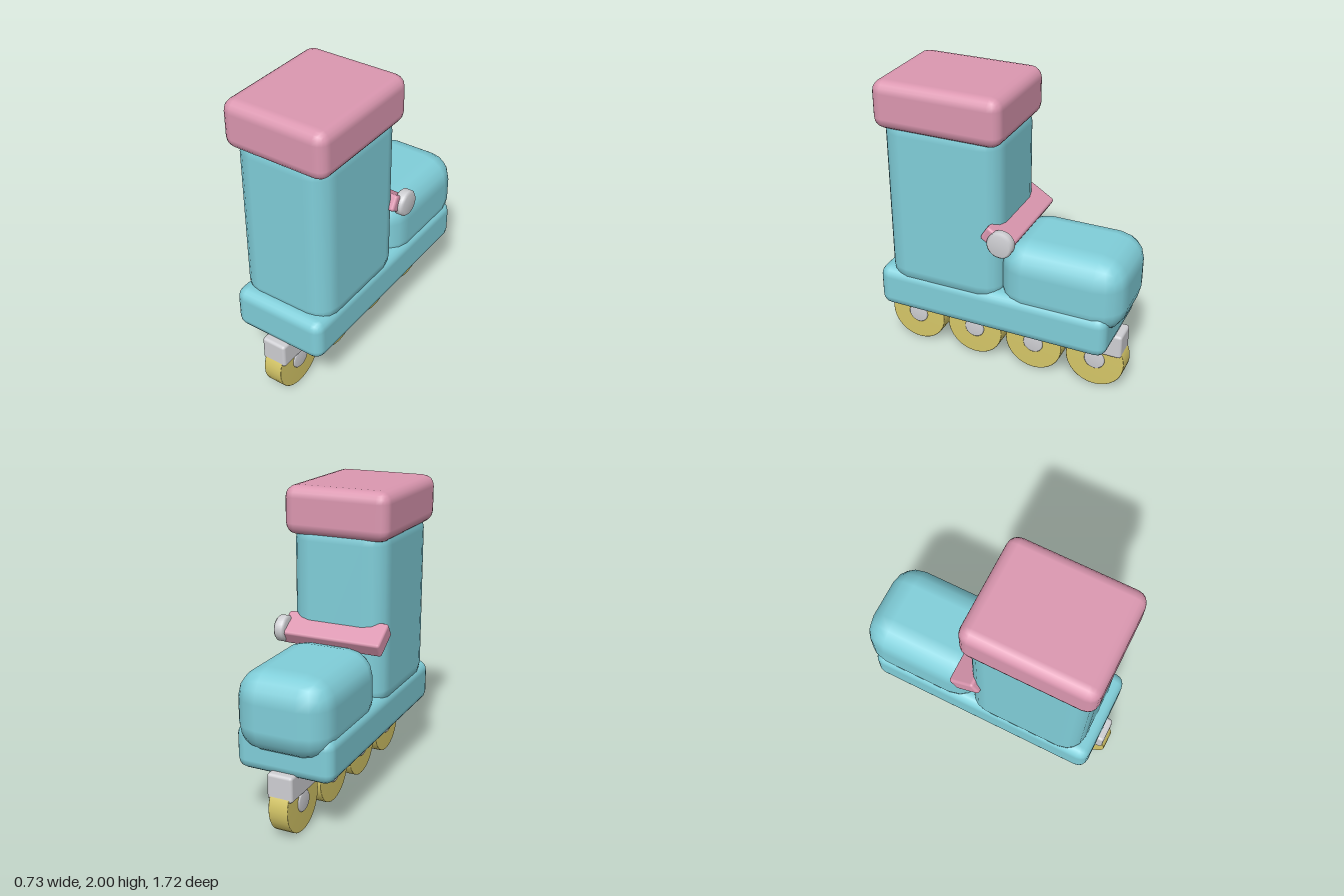
import * as THREE from 'three';
import { RoundedBoxGeometry } from 'three/addons/geometries/RoundedBoxGeometry.js';

const material = (name, color) => {
  const m = new THREE.MeshStandardMaterial({ color });
  m.name = name;
  return m;
};

export function createModel() {
  const teal = material('teal boot', 0x80ced9);
  const pink = material('pink trim', 0xdb97b0);
  const yellow = material('yellow wheel', 0xd6c768);
  const grey = material('grey metal', 0xcfcfd3);

  const model = new THREE.Group();
  model.name = 'rollerSkate';
  const CX = -0.015; // the skate sits slightly off centre because of the buckle

  const add = (name, geometry, mat, x, y, z) => {
    const mesh = new THREE.Mesh(geometry, mat);
    mesh.name = name;
    mesh.position.set(x, y, z);
    model.add(mesh);
    return mesh;
  };

  // Rounded block given by its width and its y and z ranges
  const block = (name, mat, width, y0, y1, z0, z1, radius, segments = 2) =>
    add(name, new RoundedBoxGeometry(width, y1 - y0, z1 - z0, segments, radius),
      mat, CX, (y0 + y1) / 2, (z0 + z1) / 2);

  // Softly shaded disc with its axis along x
  const disc = (name, mat, radius, width, bevel, x, y, z) => {
    const h = width / 2;
    const profile = [
      [0, -h], [radius - bevel, -h], [radius, -h + bevel],
      [radius, h - bevel], [radius - bevel, h], [0, h],
    ].map(([r, t]) => new THREE.Vector2(r, t));
    const geometry = new THREE.LatheGeometry(profile, 32);
    geometry.rotateZ(-Math.PI / 2);
    return add(name, geometry, mat, x, y, z);
  };

  // Boot
  block('sole', teal, 0.645, 0.4, 0.69, -0.78, 0.8, 0.07);
  block('shaft', teal, 0.645, 0.58, 1.8, -0.065, 0.73, 0.14);
  block('toe', teal, 0.625, 0.53, 1.05, -0.86, -0.035, 0.18);
  block('cuff', pink, 0.705, 1.69, 2.0, -0.09, 0.76, 0.075);

  // Ankle strap, tilted along the instep, with its buckle
  const strap = add('strap', new RoundedBoxGeometry(0.69, 0.105, 0.195, 2, 0.018),
    pink, CX, 1.09, -0.065);
  strap.rotation.x = -0.56;
  disc('buckle', grey, 0.085, 0.075, 0.015, 0.3275, 1.087, -0.1);

  // Wheel frame
  block('frame', grey, 0.17, 0.265, 0.435, -0.82, 0.84, 0.02);

  // Wheels with hubs showing on both sides
  for (let i = 0; i < 4; i++) {
    const z = 0.66 - i * 0.4333;
    disc('wheel', yellow, 0.2, 0.13, 0.004, CX, 0.203, z);
    disc('hub', grey, 0.07, 0.152, 0.008, CX, 0.205, z);
  }
  return model;
}
